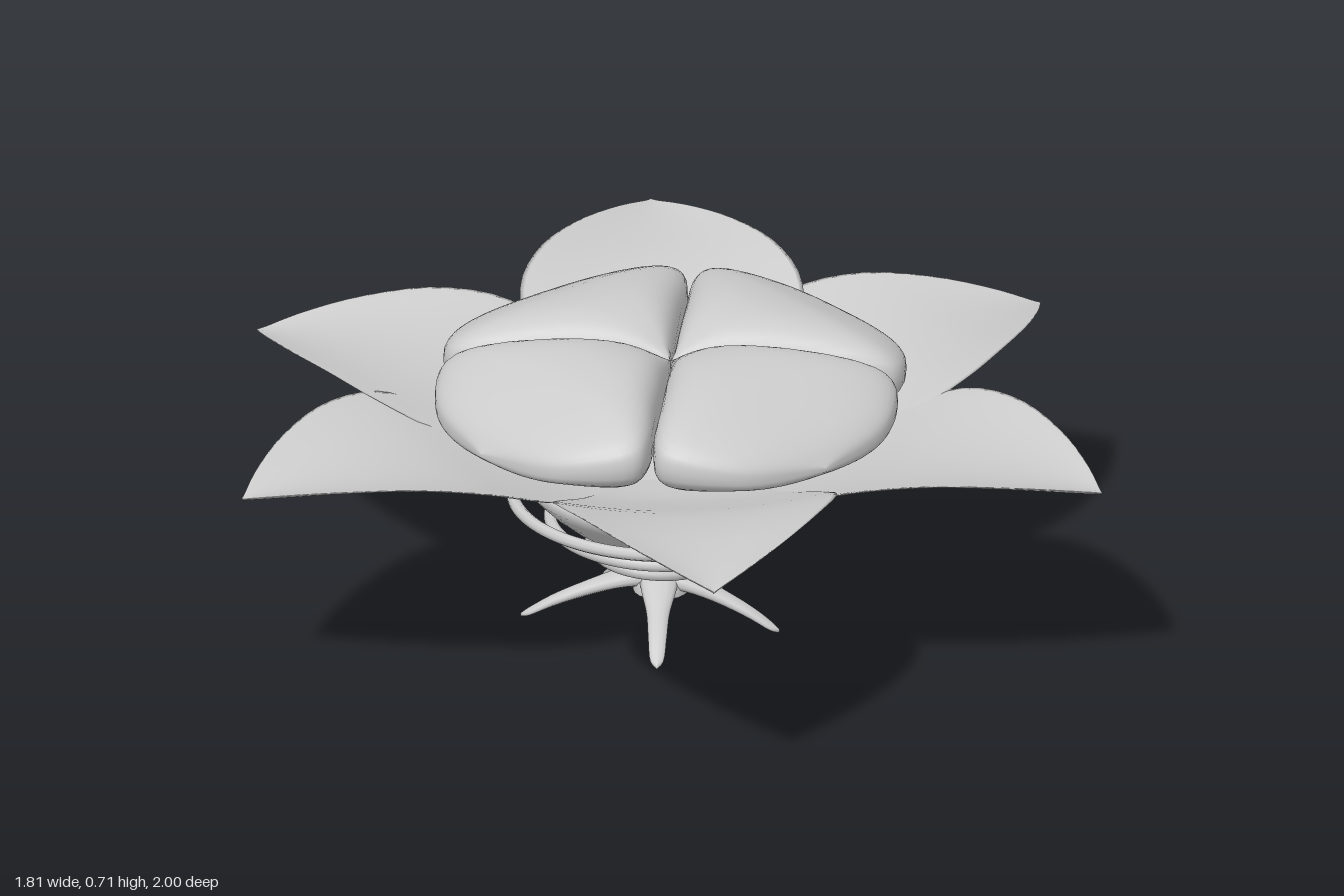
import * as THREE from 'three';
import { ParametricGeometry } from 'three/addons/geometries/ParametricGeometry.js';
import { mergeVertices } from 'three/addons/utils/BufferGeometryUtils.js';

const material = new THREE.MeshStandardMaterial({ color: 0xcccccc, side: THREE.DoubleSide });

// Closed loft along +z. Each station is [distance, half width, top y, bottom y].
// power < 1 squares off the section; cup lifts its sides.
function loft(stations, { power = 1, cup = 0, around = 24, along = 24 } = {}) {
  const track = (col) => new THREE.CatmullRomCurve3(
    stations.map((s) => new THREE.Vector3(s[1], s[col], s[0])), false, 'catmullrom');
  const top = track(2), bottom = track(3);
  const soft = (n) => Math.sign(n) * Math.pow(Math.abs(n), power);
  const raw = new ParametricGeometry((u, v, target) => {
    const a = top.getPoint(v), b = bottom.getPoint(v);
    const c = soft(Math.cos(u * Math.PI * 2)), s = soft(Math.sin(u * Math.PI * 2));
    const y = (a.y + b.y) / 2 + s * (a.y - b.y) / 2 + cup * c * c * Math.sin(Math.PI * Math.min(1, v));
    target.set(Math.max(0, a.x) * c, y, a.z);
  }, around, along);
  raw.deleteAttribute('normal');
  raw.deleteAttribute('uv');
  const geometry = mergeVertices(raw, 1e-5);
  geometry.computeVertexNormals();
  return geometry;
}

export function createModel() {
  const model = new THREE.Group();
  const add = (name, geometry, x = 0, y = 0, z = 0, turn = 0) => {
    const mesh = new THREE.Mesh(geometry, material);
    mesh.name = name;
    mesh.position.set(x, y, z);
    mesh.rotation.y = turn;
    model.add(mesh);
    return mesh;
  };
  const cx = 0.02;

  // Six broad pointed petals: tip x, tip z, lift of the outer half
  const petals = [
    [0.03, -1, 0], [0.905, -0.48, 0], [0.87, 0.56, 0.04],
    [-0.22, 1, 0], [-0.905, 0.42, 0], [-0.8, -0.58, 0.07],
  ];
  petals.forEach(([x, z, lift], i) => {
    const length = Math.hypot(x - cx, z);
    const stations = [
      [0.1, 0.1, 0.41, 0.39], [0.27, 0.21, 0.425, 0.4], [0.42, 0.29, 0.465, 0.445],
      [0.56, 0.305, 0.505, 0.487], [0.7, 0.255, 0.52, 0.505], [0.83, 0.17, 0.515, 0.5],
      [0.93, 0.08, 0.505, 0.492], [1, 0, 0.495, 0.488],
    ].map(([r, w, t, b]) => [r * length, w, t + lift * r * r, b + lift * r * r]);
    add('petal' + (i + 1), loft(stations, { cup: 0.045 }), cx, 0, 0, Math.atan2(x - cx, z));
  });

  // Four puffy inner cushions meeting in the middle
  const cushion = loft([
    [0, 0, 0.63, 0.5], [0.1, 0.097, 0.69, 0.49], [0.2, 0.195, 0.71, 0.48],
    [0.3, 0.295, 0.7, 0.49], [0.37, 0.325, 0.675, 0.505], [0.45, 0.255, 0.635, 0.52],
    [0.5, 0.16, 0.598, 0.53], [0.53, 0, 0.56, 0.55],
  ], { power: 0.72, around: 40, along: 28 });
  for (let i = 0; i < 4; i++) add('cushion' + (i + 1), cushion, cx, 0, 0.01, i * Math.PI / 2 + 0.02);

  // Conical cup below the petals, with a rounded rim
  const cup = [
    [0, 0.16], [0.045, 0.165], [0.09, 0.195], [0.145, 0.22], [0.19, 0.25], [0.24, 0.28],
    [0.275, 0.31], [0.3, 0.335], [0.318, 0.355], [0.318, 0.375], [0.3, 0.395], [0.25, 0.41], [0, 0.42],
  ].map(([r, y]) => new THREE.Vector2(r, y));
  add('cup', new THREE.LatheGeometry(cup, 48), cx, 0, 0.01);

  // Tendril winding three turns up the cup
  const coil = [];
  for (let i = 0; i <= 80; i++) {
    const k = i / 80, t = k * Math.PI * 6;
    const r = 0.065 + 0.27 * Math.pow(k, 0.9);
    coil.push(new THREE.Vector3(cx - r * Math.cos(t), 0.152 + 0.183 * k, 0.035 - r * Math.sin(t)));
  }
  coil.push(new THREE.Vector3(-0.25, 0.34, -0.06));
  add('tendril', new THREE.TubeGeometry(new THREE.CatmullRomCurve3(coil), 240, 0.014, 8));

  // Five arched roots: tip x, tip z, height of the tip
  const rootX = 0, rootZ = 0.025;
  const roots = [[-0.2, 0.25, 0.015], [0.21, -0.14, 0.012], [0.2, 0.19, 0.012], [-0.26, -0.03, 0.015], [-0.07, -0.2, 0]];
  roots.forEach(([x, z, y], i) => {
    const dx = x - rootX, dz = z - rootZ, length = Math.hypot(dx, dz);
    const stations = [
      [0, 0.045, 0.145, 0.085], [0.25, 0.038, 0.12, 0.08], [0.5, 0.025, 0.09, 0.058],
      [0.75, 0.02, 0.055, 0.03], [0.93, 0.015, 0.022, 0.005], [1, 0, 0.008, 0],
    ].map(([r, w, t, b]) => [r * length, w, t, b]);
    add('root' + (i + 1), loft(stations, { around: 12, along: 16 }), rootX, y, rootZ, Math.atan2(dx, dz));
  });

  // Flared stub joining the roots to the cup
  const stub = [[0.06, 0.09], [0.06, 0.115], [0.045, 0.14], [0.03, 0.155], [0.03, 0.175]]
    .map(([r, y]) => new THREE.Vector2(r, y));
  add('stub', new THREE.LatheGeometry(stub, 20), 0.005, 0, rootZ);

  return model;
}
